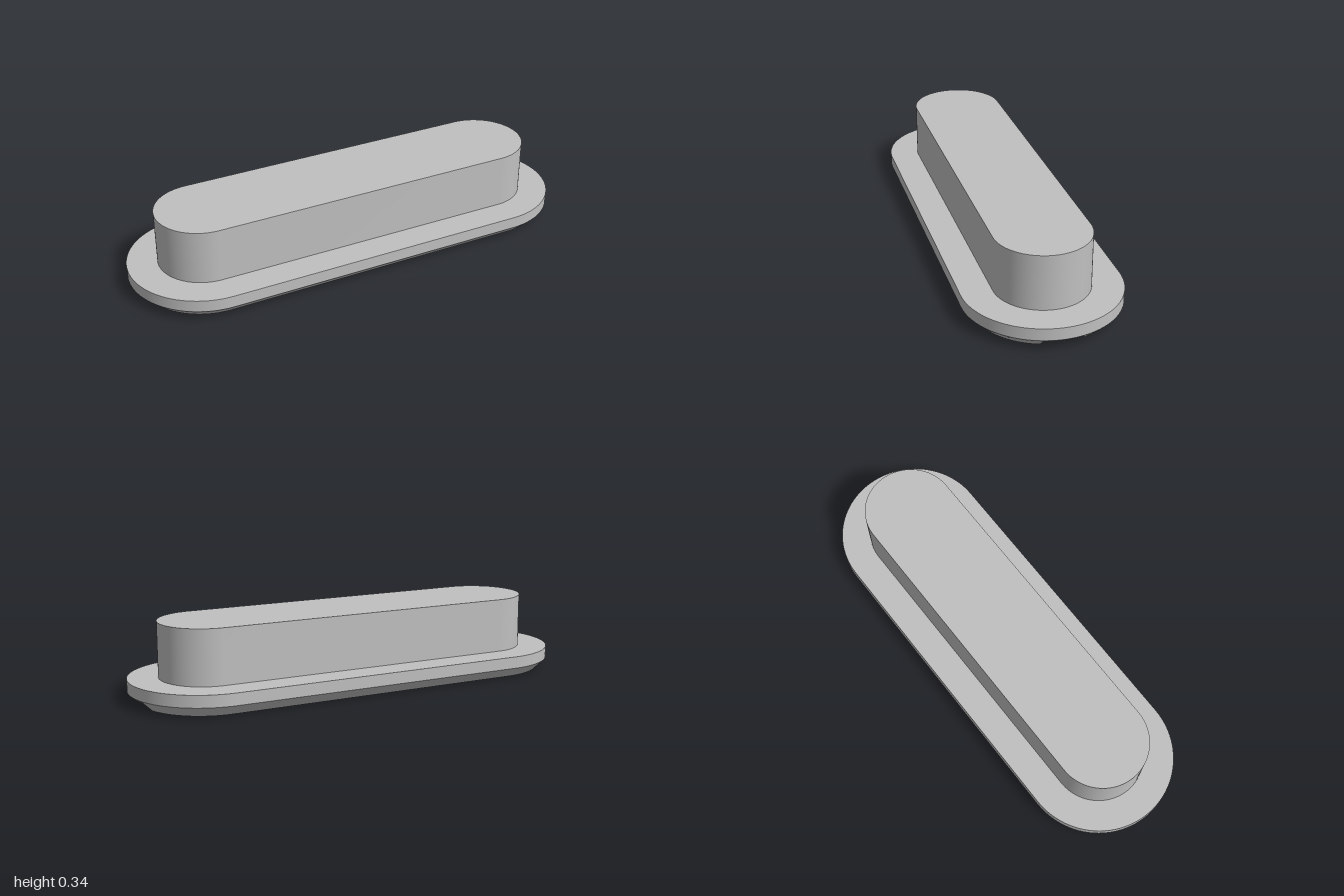
import * as THREE from 'three';
import { mergeGeometries, toCreasedNormals } from 'three/addons/utils/BufferGeometryUtils.js';

const END = 0.67;       // x of the centres of the rounded ends
const SLOT_Z = 0.09;    // half width of the pry slot
const SLOT_X = 0.84;    // inner wall of the pry slot
const SLOT_Y = 0.038;   // ceiling of the pry slot

// Points on an arc around (cx, 0), as (x, z)
function arc(cx, r, from, to, n) {
  return Array.from({ length: n + 1 }, (_, i) => {
    const a = from + (to - from) * i / n;
    return new THREE.Vector2(cx + r * Math.cos(a), r * Math.sin(a));
  });
}

// Rounded slot outline, optionally cut by the pry slot at the +x end
function outline(r, slotted = false) {
  const a = slotted ? Math.asin(SLOT_Z / r) : 0;
  const pts = [
    ...arc(END, r, a, Math.PI / 2, 24),
    ...arc(-END, r, Math.PI / 2, Math.PI * 1.5, 48),
    ...arc(END, r, Math.PI * 1.5, Math.PI * 2 - a, 24),
  ];
  if (slotted) pts.push(new THREE.Vector2(SLOT_X, -SLOT_Z), new THREE.Vector2(SLOT_X, SLOT_Z));
  else pts.pop();
  return pts;
}

// Side wall between two outlines with equal point counts
function wall(low, y0, high, y1) {
  const pos = [];
  low.forEach((p, i) => {
    const j = (i + 1) % low.length;
    const a = [p.x, y0, p.y], b = [low[j].x, y0, low[j].y];
    const c = [high[i].x, y1, high[i].y], d = [high[j].x, y1, high[j].y];
    pos.push(...a, ...c, ...b, ...b, ...c, ...d);
  });
  const g = new THREE.BufferGeometry();
  g.setAttribute('position', new THREE.Float32BufferAttribute(pos, 3));
  return g;
}

// Flat face over an outline, facing up or down
function cap(pts, y, up) {
  const g = new THREE.ShapeGeometry(new THREE.Shape(pts)).toNonIndexed();
  g.deleteAttribute('uv');
  g.deleteAttribute('normal');
  return g.rotateX(up ? -Math.PI / 2 : Math.PI / 2).translate(0, y, 0);
}

export function createModel() {
  const group = new THREE.Group();
  const grey = new THREE.MeshStandardMaterial({ color: 0xc0c0c0 });
  grey.name = 'grey';

  const add = (name, parts) => {
    const mesh = new THREE.Mesh(toCreasedNormals(mergeGeometries(parts), 0.4), grey);
    mesh.name = name;
    group.add(mesh);
  };

  // Raised plug
  const plug = outline(0.2);
  add('plug', [wall(plug, 0.098, plug, 0.336), cap(plug, 0.336, true)]);

  // Flange rim
  const rim = outline(0.33);
  add('flange', [wall(rim, 0.046, rim, 0.098), cap(rim, 0.098, true)]);

  // Chamfered underside with the pry slot cut into one end
  const base = outline(0.284, true);
  const a = Math.asin(SLOT_Z / 0.322);
  const ceiling = [
    ...arc(END, 0.322, -a, a, 12),
    new THREE.Vector2(SLOT_X, SLOT_Z),
    new THREE.Vector2(SLOT_X, -SLOT_Z),
  ];
  add('chamferedBase', [
    cap(base, 0, false),
    wall(base, 0, outline(0.322, true), SLOT_Y),
    wall(outline(0.322), SLOT_Y, rim, 0.046),
  ]);
  add('prySlotCeiling', [cap(ceiling, SLOT_Y, false)]);

  return group;
}
